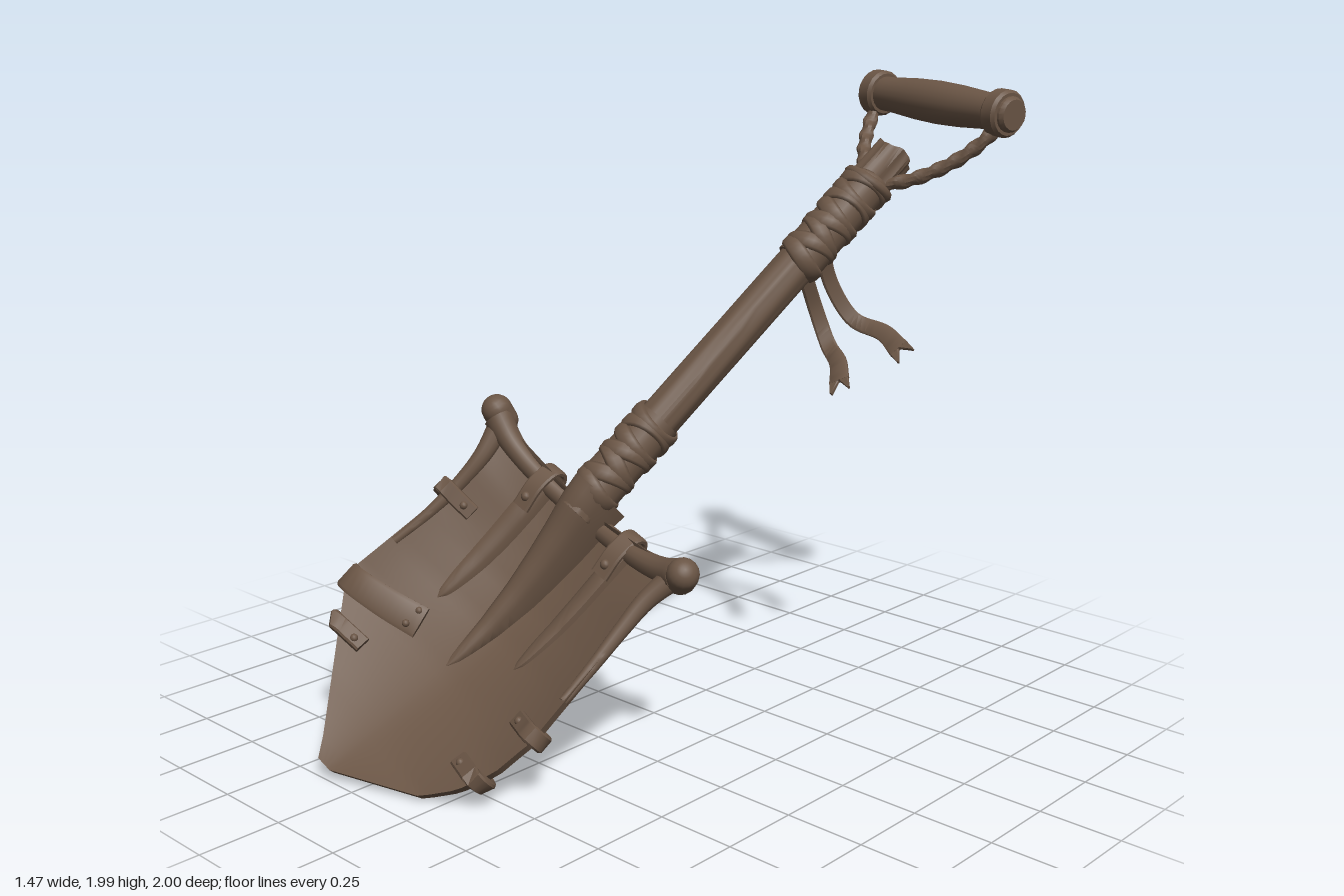
import * as THREE from 'three';
import { toCreasedNormals } from 'three/addons/utils/BufferGeometryUtils.js';

const V = (x, y, z) => new THREE.Vector3(x, y, z);

// Tool frame: v runs down the blade, u across it, n out of its hollow face
const O = V(-0.08, 0.70, 0.24);
const vDir = V(-0.285, -0.695, 0.66).normalize();
const nDir = vDir.clone().cross(V(0.92, -0.386, 0.057)).normalize();
const uDir = nDir.clone().cross(vDir).normalize();
const at = (u, v, n) => O.clone().addScaledVector(uDir, u).addScaledVector(vDir, v).addScaledVector(nDir, n);

// Piecewise interpolation through [x, y] knots
function knots(table, x) {
  if (x <= table[0][0]) return table[0][1];
  for (let i = 1; i < table.length; i++) {
    const [a, p] = table[i - 1], [b, q] = table[i];
    if (x <= b) return p + (q - p) * (x - a) / (b - a);
  }
  return table[table.length - 1][1];
}
// Slightly lopsided blade outline and edge height, by side s
const TIP = 1.054;
const halfWidth = (v, s) => knots(s < 0
  ? [[0, 0.435], [0.12, 0.405], [0.3, 0.425], [0.58, 0.478], [0.64, 0.47], [0.86, 0.25], [1.0, 0.1], [TIP, 0.05]]
  : [[0, 0.43], [0.12, 0.405], [0.3, 0.425], [0.6, 0.452], [0.72, 0.43], [0.83, 0.375], [0.92, 0.285], [TIP, 0.005]], v);
const edgeDepth = (v, s) => knots(s < 0
  ? [[0, 0.04], [0.25, 0.01], [0.62, 0.015], [0.86, 0.045], [TIP, 0.085]]
  : [[0, 0.035], [0.25, 0.045], [0.62, 0.085], [0.83, 0.085], [0.92, 0.068], [TIP, 0.082]], v);
const midDepth = v => knots([[0, -0.08], [0.1, -0.1], [0.2, -0.112], [0.32, -0.118], [0.45, -0.108], [0.64, -0.07], [0.86, 0.003], [TIP, 0.082]], v);

// Point on the hollow face of the blade, lifted by h
function face(u, v, h = 0) {
  const s = Math.min(1, Math.abs(u) / halfWidth(v, u));
  const n = midDepth(v) + (edgeDepth(v, u) - midDepth(v)) * s ** 1.7;
  const up = (u < 0 ? 0.06 : 0.04) * s ** 4 * Math.max(0, 1 - v / 0.4) ** 2;
  return at(u, v - up, n + h);
}

// Closed solid through equal rings of points, turned outward by its signed volume
function loft(rings, crease = 0.6) {
  const m = rings[0].length, pos = [], idx = [];
  rings.flat().forEach(p => pos.push(p.x, p.y, p.z));
  for (let i = 0; i < rings.length - 1; i++) for (let j = 0; j < m; j++) {
    const a = i * m + j, b = i * m + (j + 1) % m;
    idx.push(a, b, b + m, a, b + m, a + m);
  }
  [0, rings.length - 1].forEach((r, e) => {
    const c = pos.length / 3;
    const mid = rings[r].reduce((s, p) => s.add(p), V(0, 0, 0)).divideScalar(m);
    pos.push(mid.x, mid.y, mid.z);
    for (let j = 0; j < m; j++) {
      const a = r * m + j, b = r * m + (j + 1) % m;
      if (e) idx.push(a, b, c); else idx.push(b, a, c);
    }
  });
  const P = i => V(pos[3 * i], pos[3 * i + 1], pos[3 * i + 2]).sub(rings[0][0]);
  let vol = 0;
  for (let i = 0; i < idx.length; i += 3) vol += P(idx[i]).dot(P(idx[i + 1]).cross(P(idx[i + 2])));
  if (vol < 0) idx.reverse();
  const g = new THREE.BufferGeometry();
  g.setAttribute('position', new THREE.Float32BufferAttribute(pos, 3));
  g.setIndex(idx);
  return toCreasedNormals(g, crease);
}

// Round sweep with radius(t, angle)
function sweep(points, radius, steps = 32, sides = 12) {
  const curve = new THREE.CatmullRomCurve3(points);
  const f = curve.computeFrenetFrames(steps);
  return loft(Array.from({ length: steps + 1 }, (_, i) => Array.from({ length: sides }, (_, j) => {
    const a = j / sides * Math.PI * 2, r = radius(i / steps, a);
    return curve.getPointAt(i / steps).addScaledVector(f.normals[i], r * Math.cos(a)).addScaledVector(f.binormals[i], r * Math.sin(a));
  })));
}

// Flat strap along a path, its width lying along a fixed direction
function strap(points, across, width, thick, steps = 20) {
  const curve = new THREE.CatmullRomCurve3(points);
  return loft(Array.from({ length: steps + 1 }, (_, i) => {
    const t = i / steps, p = curve.getPointAt(t), tan = curve.getTangentAt(t);
    const nor = tan.clone().cross(across).normalize(), side = nor.clone().cross(tan);
    const w = (typeof width === 'function' ? width(t) : width) / 2;
    return [[-1, -0.5], [-0.8, -1], [0.8, -1], [1, -0.5], [1, 0.5], [0.8, 1], [-0.8, 1], [-1, 0.5]].map(([a, b]) =>
      p.clone().addScaledVector(side, a * w).addScaledVector(nor, b * thick / 2));
  }));
}

// Raised rib lying on the blade, leaning a little to one side
function rib(u0, v0, v1, width, height) {
  const rings = [];
  for (let i = 0; i <= 20; i++) {
    const t = i / 20, v = v0 + (v1 - v0) * t, u = u0 - 0.032 * t, ring = [];
    for (let j = 0; j <= 8; j++) {
      const a = -1 + j / 4;
      ring.push(face(u + a * width(t), v, height(t) * Math.sqrt(1 - a * a)));
    }
    for (let j = 1; j >= -1; j--) ring.push(face(u + j * width(t) * 0.9, v, -0.012));
    rings.push(ring);
  }
  return loft(rings);
}

export function createModel() {
  const model = new THREE.Group();
  const brown = new THREE.MeshStandardMaterial({ color: 0x6a5545 });
  brown.name = 'weathered brown';
  const add = (name, geo, parent = model) => {
    const m = new THREE.Mesh(geo, brown);
    m.name = name;
    parent.add(m);
    return m;
  };

  // Dished blade
  const rows = [];
  for (let i = 0; i <= 40; i++) {
    const v = TIP * i / 40, l = halfWidth(v, -1), r = halfWidth(v, 1), ring = [];
    const u = j => j < 0 ? j / 10 * l : j / 10 * r;
    for (let j = -10; j <= 10; j++) ring.push(face(u(j), v));
    for (let j = 10; j >= -10; j--) ring.push(face(u(j), v, -0.03));
    rows.push(ring);
  }
  add('blade', loft(rows));

  // Rolled top rim with rolled corners and tapering side rims
  const rim = Array.from({ length: 13 }, (_, i) => face((i / 6 - 1) * 0.43, 0.005, 0.004));
  add('topRim', sweep(rim, t => 0.033 + 0.015 * Math.abs(2 * t - 1) ** 5, 40));
  for (const [s, v, n] of [[-1, -0.062, 0.034], [1, -0.036, 0.036]]) {
    const knob = add('cornerRoll', new THREE.CapsuleGeometry(0.049, 0.04, 6, 16));
    knob.position.copy(at(s * 0.44, v, n));
    knob.quaternion.setFromUnitVectors(V(0, 1, 0), nDir.clone().addScaledVector(uDir, s * 0.5).addScaledVector(vDir, -0.3).normalize());
    add('sideRim', sweep([0, 0.1, 0.2, 0.32, 0.45].map(q => face(s * (halfWidth(q, s) - 0.012), q, -0.008)), t => 0.045 - 0.03 * Math.sqrt(t)));
  }

  // Central socket and two side ribs
  add('socketRib', rib(0, -0.07, 0.62,
    t => 0.092 * Math.sqrt(1 - t) * (1 - 0.25 * t) + 0.002, t => 0.165 * (1 - t) ** 0.95 + 0.002));
  for (const s of [-1, 1]) {
    add('sideRib', rib(s * 0.19, 0, 0.49,
      t => 0.04 * Math.sqrt(1 - t ** 3) + 0.001, t => 0.03 * Math.sqrt(1 - t ** 2) + 0.001));
    // Strap folded over the rim
    const u = s * 0.19;
    add('rimStrap', strap([face(u, 0.115, 0.034), face(u, 0.03, 0.044), face(u, -0.036, 0.022), face(u, -0.042, -0.02),
      face(u, 0.01, -0.045), face(u, 0.08, -0.038)], uDir, 0.064, 0.018));
    const rivet = add('rivet', new THREE.SphereGeometry(0.016, 10, 8));
    rivet.position.copy(face(u, 0.08, 0.047));
  }

  // Clips bent around the blade edge
  for (const [s, v] of [[-1, 0.23], [-1, 0.745], [1, 0.575], [1, 0.77]]) {
    const w = halfWidth(v, s), q = (d, h) => face(s * (w - d), v, h);
    const out = at(s * (w + 0.022), v, edgeDepth(v, s) - 0.012);
    const along = face(s * halfWidth(v + 0.03, s), v + 0.03).sub(face(s * halfWidth(v - 0.03, s), v - 0.03)).normalize();
    add('edgeClip', strap([q(0.11, 0.012), q(0.05, 0.024), q(0.0, 0.028), out, q(0.0, -0.055), q(0.05, -0.045), q(0.1, -0.038)], along, 0.054, 0.025));
    const rivet = add('rivet', new THREE.SphereGeometry(0.013, 10, 8));
    rivet.position.copy(q(0.085, 0.03));
  }

  // Wide patch folded over the side corner
  const c = 0.625, cw = halfWidth(c, -1);
  add('cornerPatch', strap([face(-0.19, c - 0.045, 0.014), face(-0.3, c - 0.02, 0.036), face(-cw + 0.03, c, 0.026), at(-cw - 0.012, c, edgeDepth(c, -1) - 0.012),
    face(-cw + 0.03, c, -0.048), face(-cw + 0.12, c, -0.038)], vDir, t => 0.1 - 0.02 * t, 0.02));
  for (const dv of [-0.07, -0.015]) {
    add('rivet', new THREE.SphereGeometry(0.012, 10, 8)).position.copy(face(-0.215, c + dv, 0.03));
  }

  // Shaft, drawn upright and then leaned along the tool axis
  const shaft = new THREE.Group();
  shaft.name = 'shaft';
  shaft.position.copy(O);
  shaft.quaternion.setFromUnitVectors(V(0, 1, 0), vDir.clone().negate());
  model.add(shaft);
  const pole = [];
  for (let i = 0; i <= 20; i++) {
    const y = -0.02 + 1.495 * i / 20;
    pole.push(Array.from({ length: 36 }, (_, j) => {
      const a = j / 36 * Math.PI * 2, groove = y > 1.3 ? 0.004 : 0.0015;
      const r = 0.064 + groove * Math.sin(9 * a + Math.sin(y * 5));
      return V(r * Math.cos(a), y + (i === 20 ? 0.008 * Math.sin(3 * a) : 0), r * Math.sin(a));
    }));
  }
  add('pole', loft(pole), shaft);

  // Cloth wraps: crossing tilted flat bands over a sleeve
  for (const [y0, y1, n, r] of [[0.06, 0.36, 7, 0.072], [1.01, 1.34, 8, 0.07]]) {
    const sleeve = add('wrapSleeve', new THREE.CylinderGeometry(r, r + 0.004, y1 - y0, 20), shaft);
    sleeve.position.y = (y0 + y1) / 2;
    for (let i = 0; i < n; i++) {
      const band = add('wrapBand', new THREE.TorusGeometry(r, 0.011, 8, 28), shaft);
      band.scale.set(1, 1.03, 2.5);
      band.position.y = y0 + 0.02 + (y1 - y0 - 0.04) * i / (n - 1);
      band.rotation.set(Math.PI / 2 + 0.25 * Math.sin(i * 2.3), 0.36 * (i % 2 ? 1 : -1), 0);
    }
  }

  // Loose forked ribbon ends
  const tails = [
    [V(0.26, 1.45, -0.48), V(0.26, 1.33, -0.53), V(0.32, 1.22, -0.57), V(0.43, 1.19, -0.58), V(0.51, 1.155, -0.55)],
    [V(0.23, 1.4, -0.42), V(0.225, 1.25, -0.5), V(0.27, 1.14, -0.51), V(0.34, 1.1, -0.47), V(0.38, 1.055, -0.425)],
  ];
  const across = V(0.42, 0.65, -0.55).normalize();
  for (const pts of tails) {
    add('ribbon', strap(pts, across, t => 0.047 + 0.02 * t ** 4, 0.014, 28));
    const end = pts[4], dir = end.clone().sub(pts[3]).normalize();
    const side = across.clone().addScaledVector(dir, -across.dot(dir)).normalize();
    for (const s of [-1, 1]) {
      const root = end.clone().addScaledVector(side, s * 0.016).addScaledVector(dir, -0.006);
      const tip = root.clone().addScaledVector(dir, 0.045).addScaledVector(side, s * 0.014);
      add('ribbonFork', strap([root, tip], across, t => 0.034 * (1 - 0.85 * t), 0.013, 3));
    }
  }

  // Cross grip with collars
  const left = V(0.09, 1.9, -0.935), right = V(0.728, 1.858, -0.79);
  const grip = new THREE.Group();
  grip.name = 'grip';
  grip.position.copy(left).lerp(right, 0.5);
  grip.quaternion.setFromUnitVectors(V(0, 1, 0), right.clone().sub(left).normalize());
  model.add(grip);
  const h = left.distanceTo(right) / 2;
  const profile = [[0, -h], [0.046, -h], [0.054, -h + 0.012], [0.055, -0.22], [0.064, -0.1], [0.067, 0], [0.064, 0.1], [0.055, 0.22], [0.054, h - 0.012], [0.046, h], [0, h]];
  add('gripBar', toCreasedNormals(new THREE.LatheGeometry(profile.map(p => new THREE.Vector2(...p)), 20), 0.6), grip);
  for (const s of [-1, 1]) {
    const ring = [[0.05, -0.03], [0.064, -0.03], [0.072, -0.02], [0.072, 0.02], [0.064, 0.03], [0.05, 0.03]];
    const collar = add('gripCollar', toCreasedNormals(new THREE.LatheGeometry(ring.map(p => new THREE.Vector2(...p)), 20), 0.6), grip);
    collar.position.y = s * (h - 0.05);
  }

  // Twisted ropes from grip to shaft
  const ropes = [
    [V(0.13, 1.86, -0.92), V(0.145, 1.79, -0.86), V(0.18, 1.72, -0.79), V(0.25, 1.65, -0.71), V(0.32, 1.63, -0.65)],
    [V(0.67, 1.83, -0.8), V(0.64, 1.785, -0.78), V(0.56, 1.715, -0.74), V(0.44, 1.655, -0.69), V(0.33, 1.63, -0.65)],
  ];
  for (const pts of ropes) add('rope', sweep(pts, (t, a) => 0.021 + 0.003 * Math.cos(2 * a + t * 44), 72, 12));
  const tie = add('ropeTie', new THREE.TorusGeometry(0.068, 0.018, 8, 28), shaft);
  tie.position.y = 1.345;
  tie.rotation.x = Math.PI / 2 + 0.15;

  return model;
}
